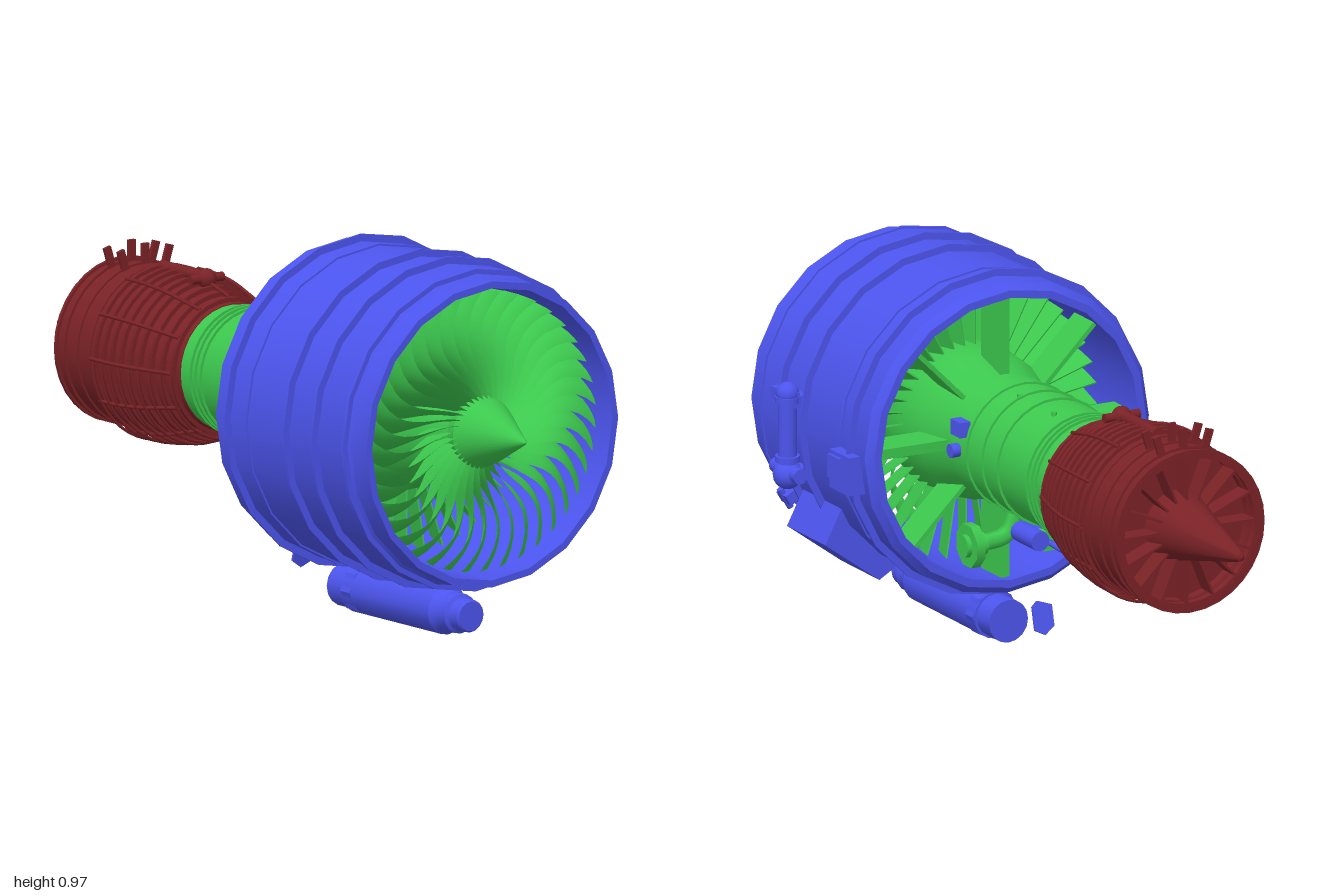
import * as THREE from 'three';
import { toCreasedNormals } from 'three/addons/utils/BufferGeometryUtils.js';

const mat = (color) => new THREE.MeshStandardMaterial({ color, side: THREE.DoubleSide });
const BLUE = mat(0x4c55ee), GREEN = mat(0x3cc84e), RED = mat(0x7a2226);

export function createModel() {
  const model = new THREE.Group();
  // Everything inside "engine" is placed relative to the shaft, which runs along x
  const engine = new THREE.Group();
  engine.name = 'engine';
  engine.position.set(0, 0.545, 0.03);
  model.add(engine);

  const add = (name, geo, material, parent = engine) => {
    const m = new THREE.Mesh(geo, material);
    m.name = name;
    parent.add(m);
    return m;
  };
  // Solid of revolution about the shaft from [x, radius] pairs
  const turn = (name, pts, material, sides = 32, parent = engine) => {
    const g = new THREE.LatheGeometry(pts.map(([x, r]) => new THREE.Vector2(r, x)), sides);
    g.rotateZ(-Math.PI / 2);
    return add(name, toCreasedNormals(g, 0.45), material, parent);
  };
  const ring = (name, x, r0, r1, w, material, sides) =>
    turn(name, [[x - w / 2, r0], [x - w / 2, r1], [x + w / 2, r1], [x + w / 2, r0]], material, sides);
  // Group turned about the shaft: a = 0 is up, positive toward +z
  const radial = (a, parent = engine) => {
    const g = new THREE.Group();
    g.rotation.x = a;
    parent.add(g);
    return g;
  };
  const box = (name, size, pos, material, parent = engine) => {
    const m = add(name, new THREE.BoxGeometry(...size), material, parent);
    m.position.set(...pos);
    return m;
  };
  const rod = (name, r, len, pos, axis, material, sides = 12, parent = engine) => {
    const g = new THREE.CylinderGeometry(r, r, len, sides);
    if (axis === 'x') g.rotateZ(Math.PI / 2);
    if (axis === 'z') g.rotateX(Math.PI / 2);
    const m = add(name, g, material, parent);
    m.position.set(...pos);
    return m;
  };
  const pipe = (name, pts, r, material) => add(name, new THREE.TubeGeometry(
    new THREE.CatmullRomCurve3(pts.map((p) => new THREE.Vector3(...p))), 20, r, 6), material);

  // Fan case: open barrel with raised flanges
  turn('fanCase', [[0.21, 0.37], [0.21, 0.39], [0.23, 0.408], [0.77, 0.408], [0.785, 0.392],
    [0.85, 0.392], [0.85, 0.374], [0.21, 0.37]], BLUE, 20);
  for (const x of [0.29, 0.54, 0.66]) ring('caseFlange', x, 0.4, 0.427, 0.006, BLUE, 20);
  for (const x of [0.36, 0.775]) ring('caseBand', x, 0.4, 0.413, 0.01, BLUE, 20);

  // Spinner and swept, twisted fan blades
  turn('spinner', [[0.77, 0.085], [0.81, 0.093], [0.85, 0.075], [0.985, 0.008], [0.995, 0]], GREEN);
  const blade = new THREE.PlaneGeometry(1, 1, 4, 10);
  const count = 38, pitch = (Math.PI * 2) / count, p = blade.attributes.position;
  for (let i = 0; i < p.count; i++) {
    const c = p.getX(i), t = p.getY(i) + 0.5;
    const r = 0.08 + 0.278 * t;
    const a = 0.28 * Math.sin(Math.PI * t * 0.9) + c * pitch * 1.12;
    const x = 0.775 - c * (0.1 - 0.045 * t) + 0.012 * (1 - 4 * c * c);
    p.setXYZ(i, x, r * Math.cos(a), r * Math.sin(a));
  }
  blade.computeVertexNormals();
  for (let i = 0; i < count; i++) add('fanBlade', blade, GREEN).rotation.x = i * pitch;

  // Core casing with its hub, guide vanes and support struts inside the fan duct
  turn('coreCasing', [[-0.27, 0], [-0.27, 0.16], [0.24, 0.163], [0.34, 0.19], [0.48, 0.2],
    [0.66, 0.15], [0.78, 0.085], [0.78, 0]], GREEN);
  for (const x of [-0.215, -0.195, -0.172, -0.02, 0.06, 0.14]) ring('coreFlange', x, 0.155, 0.168, 0.006, GREEN);
  for (let i = 0; i < 40; i++) {
    const v = box('guideVane', [0.09, 0.175, 0.004], [0.46, 0.275, 0], GREEN, radial(i * Math.PI / 20));
    v.rotation.y = 0.3;
  }
  for (let i = 0; i < 8; i++) {
    const wide = i % 2 ? 0.012 : 0.026;
    box('strut', [0.1, 0.215, wide], [0.29, 0.267, 0], GREEN, radial(i * Math.PI / 4));
  }

  // Turbine casing, open at the back, with many rings
  const skin = [[-0.73, 0.205], [-0.56, 0.21], [-0.47, 0.208], [-0.38, 0.195], [-0.3, 0.172], [-0.26, 0.162]];
  turn('turbineCasing', [[-0.66, 0.08], [-0.66, 0.19], [-0.73, 0.195], ...skin, [-0.26, 0.1]], RED);
  const skinRadius = (x) => {
    const i = Math.max(1, skin.findIndex(([sx]) => sx >= x));
    const [a, b] = [skin[i - 1], skin[i]];
    return a[1] + (b[1] - a[1]) * (x - a[0]) / (b[0] - a[0]);
  };
  for (const x of [-0.725, -0.69, -0.635, -0.58]) ring('turbineFlange', x, 0.19, 0.213, 0.009, RED);
  for (let x = -0.55; x < -0.27; x += 0.034) {
    const r = skinRadius(x);
    ring('turbineRib', x, r - 0.01, r + 0.01, 0.012, RED);
    // Cooling pipes hang slightly clear of the casing underneath
    const hoop = new THREE.TorusGeometry(r + 0.012, 0.004, 5, 32, Math.PI * 1.3);
    hoop.rotateZ(-Math.PI * 1.15);
    hoop.rotateY(Math.PI / 2);
    hoop.translate(x, -0.007, 0);
    add('coolingPipe', hoop, RED);
  }
  const along = [-0.56, -0.48, -0.4, -0.33, -0.275];
  for (const deg of [-150, -120, -90, -60, -30, 0, 30, 60, 90, 120, 150, 180]) {
    const a = THREE.MathUtils.degToRad(deg);
    pipe('lengthwisePipe', along.map((x) => {
      const r = skinRadius(x) + 0.013;
      return [x, r * Math.cos(a), r * Math.sin(a)];
    }), 0.005, RED);
  }
  // Manifold on top and upright lugs near the exhaust
  rod('manifold', 0.016, 0.2, [-0.46, 0.212, 0], 'x', RED);
  rod('manifoldCross', 0.012, 0.1, [-0.37, 0.21, 0], 'z', RED);
  add('manifoldElbow', new THREE.SphereGeometry(0.026, 12, 8), RED).position.set(-0.37, 0.21, 0);
  for (const x of [-0.69, -0.632]) for (const a of [-0.3, 0, 0.3]) {
    box('lug', [0.01, 0.06, 0.02], [x, 0.23, 0], RED, radial(a));
  }
  // Exhaust cone and vanes
  turn('exhaustCone', [[-1, 0], [-0.995, 0.01], [-0.97, 0.018], [-0.73, 0.075], [-0.65, 0.095]].map((q) => q), RED);
  for (let i = 0; i < 16; i++) {
    box('exhaustVane', [0.06, 0.115, 0.006], [-0.685, 0.136, 0], RED, radial(i * Math.PI / 8));
  }

  // Oil tank under the fan case
  const tank = new THREE.Group();
  tank.name = 'oilTank';
  tank.position.set(0, -0.48, 0);
  engine.add(tank);
  turn('tankBody', [[0.22, 0], [0.22, 0.056], [0.285, 0.056], [0.285, 0.062], [0.66, 0.062], [0.68, 0.051],
    [0.715, 0.051], [0.72, 0.042], [0.755, 0.042], [0.76, 0.038], [0.76, 0]], BLUE, 16, tank);
  turn('tankCollar', [[0.29, 0.05], [0.29, 0.065], [0.33, 0.065], [0.33, 0.05]], BLUE, 8, tank);
  box('tankMount', [0.3, 0.05, 0.03], [0.45, 0.07, 0], BLUE, tank);

  // Starter unit on the right-hand flank of the fan case
  const sz = -0.442;
  rod('starterTube', 0.024, 0.2, [0.57, 0.0, sz], 'y', BLUE);
  add('starterCap', new THREE.SphereGeometry(0.03, 12, 8), BLUE).position.set(0.57, 0.09, sz);
  add('starterBulb', new THREE.SphereGeometry(0.038, 14, 10), BLUE).position.set(0.57, -0.122, sz);
  for (const y of [-0.08, 0.075]) rod('starterClamp', 0.032, 0.015, [0.57, y, sz], 'y', BLUE);
  rod('starterPort', 0.02, 0.13, [0.575, -0.115, sz + 0.005], 'x', BLUE);
  box('starterValve', [0.09, 0.03, 0.035], [0.59, 0.08, sz + 0.005], BLUE);
  for (const y of [-0.12, 0.07]) box('starterBracket', [0.05, 0.03, 0.07], [0.57, y, -0.405], BLUE);

  // Control box behind the starter
  box('controlBox', [0.1, 0.1, 0.05], [0.305, -0.05, -0.415], BLUE);
  box('controlBoxLid', [0.06, 0.06, 0.012], [0.32, -0.04, -0.443], BLUE);

  // Flat-sided cooler on the lower flank, with clips either side
  const cooler = radial(THREE.MathUtils.degToRad(-136));
  const face = new THREE.Shape([[-0.12, 0.38], [-0.1, 0.455], [0.09, 0.482], [0.12, 0.38]]
    .map(([z, r]) => new THREE.Vector2(-z, r)));
  const coolerGeo = new THREE.ExtrudeGeometry(face, { depth: 0.2, bevelEnabled: false });
  coolerGeo.rotateY(Math.PI / 2);
  coolerGeo.translate(0.45, 0, 0);
  add('cooler', coolerGeo, BLUE, cooler);
  for (const deg of [-121, -151]) {
    const g = radial(THREE.MathUtils.degToRad(deg));
    box('clip', [0.05, 0.05, 0.03], [0.7, 0.42, 0], BLUE, g);
    rod('clipPin', 0.009, 0.06, [0.7, 0.44, 0], 'z', BLUE, 8, g);
  }

  // Accessories under the core
  const valve = rod('bleedValve', 0.058, 0.025, [0.07, -0.215, -0.19], 'z', GREEN, 8);
  valve.rotation.z = Math.PI / 8;
  rod('valveHub', 0.03, 0.06, [0.07, -0.215, -0.185], 'z', GREEN);
  pipe('valvePipe', [[0.07, -0.14, -0.06], [0.07, -0.2, -0.09], [0.07, -0.215, -0.19]], 0.022, GREEN);
  rod('fuelPump', 0.026, 0.11, [-0.11, -0.155, -0.12], 'x', BLUE);
  box('pumpMount', [0.035, 0.05, 0.04], [-0.11, -0.17, -0.07], GREEN);
  pipe('fuelLine', [[-0.2, -0.15, -0.05], [-0.19, -0.18, -0.06], [-0.14, -0.17, -0.08], [-0.06, -0.16, -0.11]], 0.008, BLUE);
  box('lineBracket', [0.02, 0.04, 0.03], [-0.205, -0.17, -0.04], BLUE);
  rod('sensorBoss', 0.018, 0.03, [0.19, 0.0, -0.17], 'z', BLUE);
  box('sensorBox', [0.05, 0.04, 0.03], [0.18, 0.06, -0.16], BLUE);
  for (const x of [-0.11, 0.07]) rod('boroscopePlug', 0.007, 0.012, [x, 0.155, -0.05], 'y', GREEN, 8);

  // Separate drain plate below the core
  const plate = new THREE.Shape([[-0.028, 0.03], [0.012, 0.044], [0.028, 0.03], [0.028, -0.03], [0, -0.044], [-0.028, -0.025]]
    .map(([x, y]) => new THREE.Vector2(x, y)));
  const plateGeo = new THREE.ExtrudeGeometry(plate, { depth: 0.007, bevelEnabled: false });
  plateGeo.rotateY(Math.PI / 2);
  const drain = add('drainPlate', plateGeo, BLUE);
  drain.position.set(0.037, -0.423, 0);
  drain.rotation.z = -0.25;

  return model;
}
